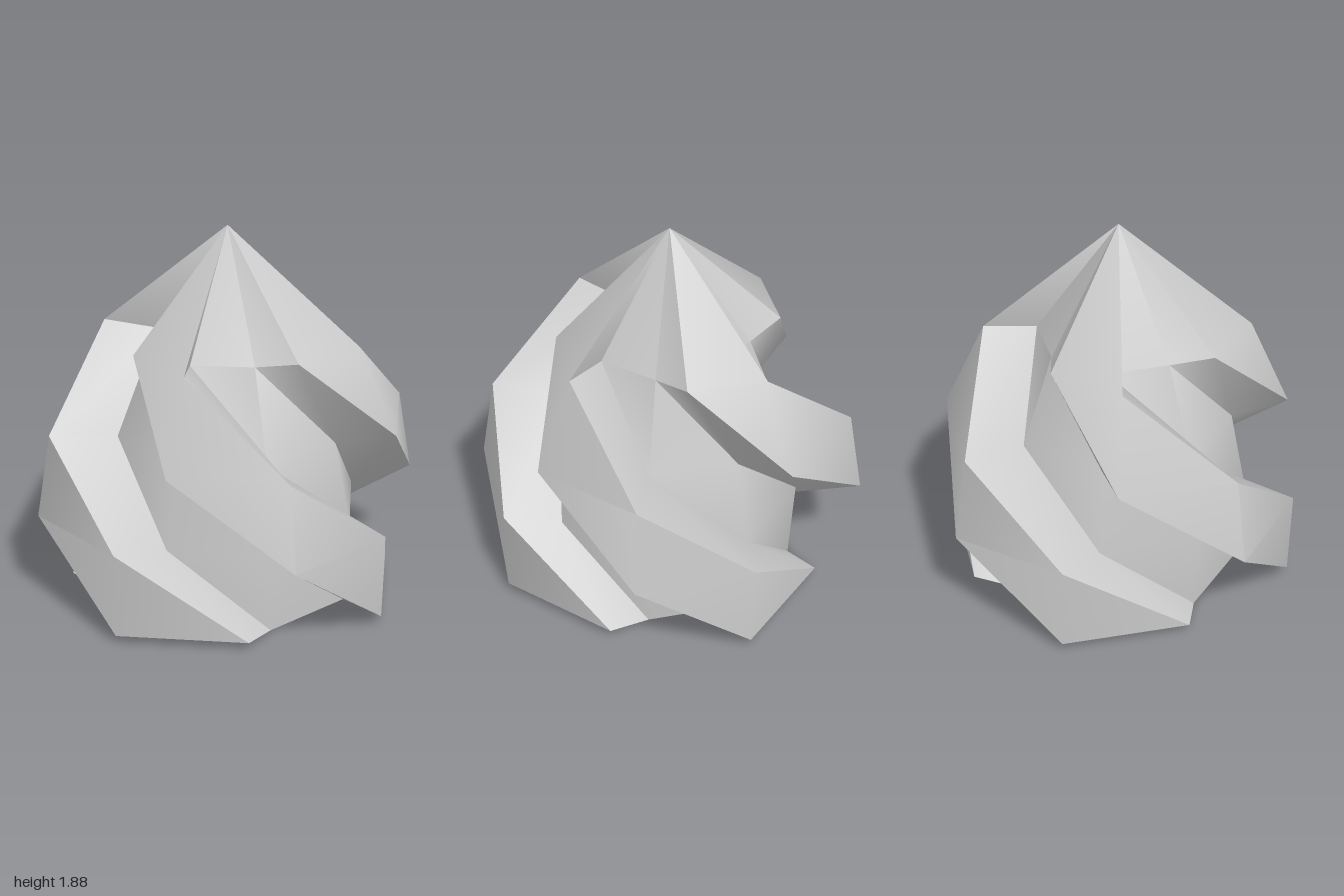
import * as THREE from 'three';
import { toCreasedNormals } from 'three/addons/utils/BufferGeometryUtils.js';

// Cross-sections, top to bottom: an octagonal core that turns 45 degrees per level,
// carrying four ridges, each with a leading and a trailing edge [radius, degrees]
const LEVELS = [
  { yCore: 1.295, core: 0.40, yRidge: 1.335, lead: [0.555, 72], trail: [0.655, 126 - 90] },
  { yCore: 0.855, core: 0.575, yRidge: 0.90, lead: [0.855, 37.5], trail: [0.915, 0] },
  { yCore: 0.43, core: 0.66, yRidge: 0.48, lead: [0.988, 0], trail: [0.92, -36] },
  { yCore: 0, core: 0.635, yRidge: 0.045, lead: [0.915, -35.5], trail: [0.81, -78.4] },
];
const RIDGES = 4;

function point(radius, degrees, y) {
  const a = THREE.MathUtils.degToRad(degrees);
  return new THREE.Vector3(radius * Math.cos(a) * 1.012 - 0.007 * y, y, radius * Math.sin(a));
}

// Full cross-section, four corners per ridge, clockwise
function crossSection({ yCore, core, yRidge, lead, trail }, level) {
  const ring = [];
  for (let k = 0; k < RIDGES; k++) {
    const turn = -k * 360 / RIDGES;
    const coreAngle = 90 - 45 * level + turn;
    ring.push(
      point(core, coreAngle, yCore),
      point(lead[0], lead[1] + turn, yRidge),
      point(trail[0], trail[1] + turn, yRidge),
      point(core, coreAngle - 45, yCore),
    );
  }
  return ring;
}

function mesh(name, triangles, material) {
  let geometry = new THREE.BufferGeometry().setFromPoints(triangles);
  geometry.computeVertexNormals();
  geometry = toCreasedNormals(geometry, 0.85);
  const m = new THREE.Mesh(geometry, material);
  m.name = name;
  return m;
}

export function createModel() {
  const group = new THREE.Group();
  group.name = 'twistedSwirl';
  const material = new THREE.MeshStandardMaterial({ color: 0xcccccc });
  const rings = LEVELS.map(crossSection);
  const n = rings[0].length;
  const apex = new THREE.Vector3(-0.016, 1.885, 0);

  // Pointed top and twisted sides
  const sides = [];
  for (let j = 0; j < n; j++) {
    const k = (j + 1) % n;
    sides.push(apex, rings[0][j], rings[0][k]);
    for (let i = 0; i < rings.length - 1; i++) {
      const up = rings[i], low = rings[i + 1];
      sides.push(up[j], low[j], up[k], up[k], low[j], low[k]);
    }
  }
  group.add(mesh('twistedBody', sides, material));

  // Flat octagonal foot and the undersides of the ridges
  const foot = [];
  const center = new THREE.Vector3();
  const last = rings[rings.length - 1];
  for (let j = 0; j < n; j += 4) {
    const [end, lead, trail, start] = last.slice(j, j + 4);
    const next = last[(j + 4) % n];
    foot.push(center, start, end, center, next, start);
    foot.push(start, trail, lead, start, lead, end);
  }
  group.add(mesh('base', foot, material));
  return group;
}
